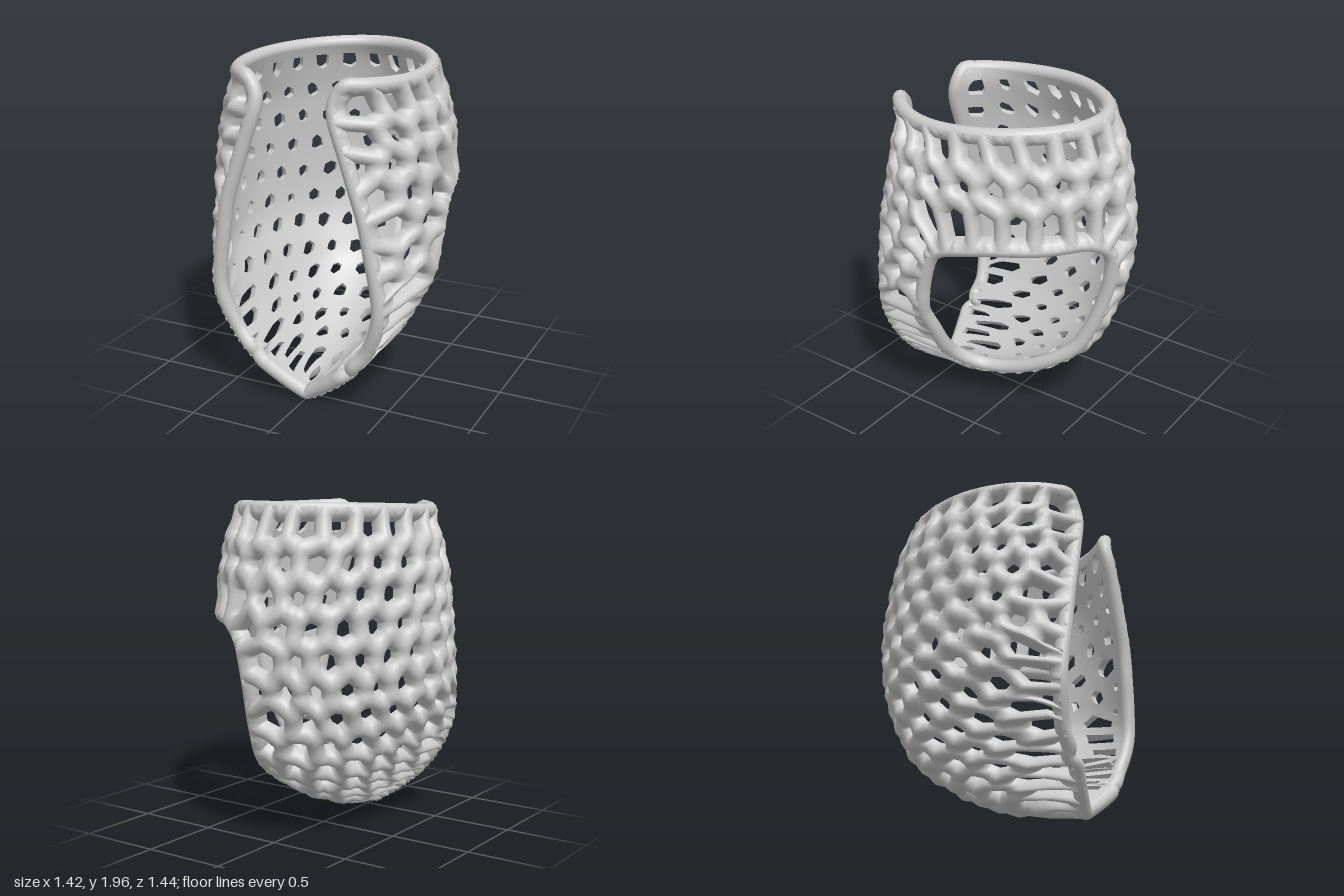
import * as THREE from 'three';
import { mergeVertices } from 'three/addons/utils/BufferGeometryUtils.js';

const THICK = 0.09, TOP = 1.95, FRONT_TOP = 1.89, RIM = 0.042;
const { lerp, clamp } = THREE.MathUtils;

// Smooth lookup through [y, value] points
function lut(p) {
  const slope = (i) => {
    const a = p[Math.max(i - 1, 0)], b = p[Math.min(i + 1, p.length - 1)];
    return (b[1] - a[1]) / (b[0] - a[0]);
  };
  return (y) => {
    let i = 0;
    while (i < p.length - 2 && y > p[i + 1][0]) i++;
    const d = p[i + 1][0] - p[i][0], t = clamp((y - p[i][0]) / d, 0, 1), t2 = t * t, t3 = t2 * t;
    return (2 * t3 - 3 * t2 + 1) * p[i][1] + (t3 - 2 * t2 + t) * d * slope(i)
      + (3 * t2 - 2 * t3) * p[i + 1][1] + (t3 - t2) * d * slope(i + 1);
  };
}

// Shell sections by height: half width, fullness and depth of the back, front edge, centre of the oval
const width = lut([[0, 0.03], [0.05, 0.11], [0.1, 0.18], [0.2, 0.3], [0.4, 0.48], [0.6, 0.59], [0.8, 0.68],
  [1, 0.705], [1.2, 0.71], [1.4, 0.7], [1.6, 0.68], [1.8, 0.62], [1.97, 0.56]]);
const fullness = lut([[0, 0.3], [0.4, 0.25], [0.8, 0], [1.2, -0.2], [1.6, -0.18], [1.97, -0.1]]);
const back = lut([[0, 0.52], [0.03, 0.38], [0.07, 0.2], [0.12, 0.02], [0.2, -0.15], [0.28, -0.29], [0.46, -0.5],
  [0.65, -0.6], [0.9, -0.68], [1.1, -0.72], [1.3, -0.73], [1.5, -0.7], [1.7, -0.66], [1.87, -0.6], [1.97, -0.54]]);
const edgeRatio = lut([[0, 1], [0.2, 1], [0.3, 0.99], [0.4, 0.96], [0.6, 0.91], [0.8, 0.78], [1, 0.7], [1.2, 0.64],
  [1.4, 0.55], [1.6, 0.46], [1.75, 0.41], [1.84, 0.44], [1.9, 0.58], [1.97, 0.8]]);
const edgeZ = lut([[0, 0.56], [0.2, 0.625], [0.4, 0.64], [0.8, 0.69], [1.2, 0.715], [1.7, 0.715], [1.85, 0.69], [1.97, 0.63]]);
const centreZ = lut([[0, 0.56], [0.2, 0.625], [0.3, 0.62], [0.4, 0.58], [0.6, 0.4], [0.8, 0.25], [1, 0.17], [1.2, 0.15], [1.97, 0.15]]);

const edgeAngle = (y) => Math.PI - Math.asin(clamp(edgeRatio(y), 0, 1));

// Outermost surface; angle 0 is the back, positive angles go to +x
function skin(y, th) {
  const c = Math.cos(th), zc = centreZ(y);
  const swell = c > 0 ? 1 + fullness(y) * c * c : 1;
  const front = (edgeZ(y) - zc) / Math.max(-Math.cos(edgeAngle(y)), 0.1);
  return new THREE.Vector3(width(y) * Math.sin(th) * swell, y, c > 0 ? zc - (zc - back(y)) * c : zc - front * c);
}
// Point at height h above the inner face
function shell(y, th, h) {
  const e = 0.006;
  const dy = skin(Math.min(y + e, 1.97), th).sub(skin(Math.max(y - e, 0), th));
  const dt = skin(y, th + e).sub(skin(y, th - e));
  return skin(y, th).addScaledVector(dy.cross(dt).normalize(), h - THICK);
}

// Heights at equal steps of arc length down a curve on the skin
function heightsAlong(point, top, n = 400) {
  const ys = [], len = [0];
  for (let i = 0; i <= n; i++) {
    ys.push(top * (1 - i / n) ** 1.5);
    if (i) len.push(len[i - 1] + point(ys[i]).distanceTo(point(ys[i - 1])));
  }
  const total = len[n];
  const at = (s) => {
    let i = 1;
    while (i < n && len[i] < s * total) i++;
    return lerp(ys[i - 1], ys[i], clamp((s * total - len[i - 1]) / (len[i] - len[i - 1]), 0, 1));
  };
  return { at, total };
}
const spine = heightsAlong((y) => skin(y, 0), TOP);
const frontEdge = heightsAlong((y) => skin(y, edgeAngle(y)), FRONT_TOP);

// Position on the shell from fraction s down the spine and t across
function locate(s, t) {
  const atSpine = spine.at(s), atEdge = lerp(frontEdge.at(s), atSpine, 0.5 * Math.sin(Math.PI * s));
  const y = lerp(atSpine, atEdge, Math.abs(t) ** 1.5);
  return { y, th: t * edgeAngle(y) };
}
// Arc lengths across each row, so that columns are evenly spaced
const rowArcs = Array.from({ length: 61 }, (_, k) => {
  const arc = [0];
  for (let i = 1; i <= 32; i++) {
    const q = locate(k / 60, i / 32), r = locate(k / 60, (i - 1) / 32);
    arc.push(arc[i - 1] + skin(q.y, q.th).distanceTo(skin(r.y, r.th)));
  }
  return arc;
});
function across(arc, a) {
  if (a >= arc[32]) return a / Math.max(arc[32], 0.01);
  let i = 1;
  while (arc[i] < a) i++;
  return (i - 1 + (a - arc[i - 1]) / (arc[i] - arc[i - 1])) / 32;
}
function chart(a, b) {
  const s = clamp(b / spine.total, 0, 1), k = Math.min(Math.floor(s * 60), 59), d = Math.abs(a);
  const t = Math.sign(a) * lerp(across(rowArcs[k], d), across(rowArcs[k + 1], d), s * 60 - k);
  return { ...locate(s, clamp(t, -1, 1)), inside: Math.abs(t) < 1 && b > 0 && b < spine.total };
}

// Outer border: down one front edge, up the other, back along the top
function outerLoop() {
  const side = [], top = [];
  for (let i = 0; i <= 240; i++) {
    const y = frontEdge.at(i / 240);
    side.push({ y, th: edgeAngle(y) });
  }
  const mirrored = side.slice(0, -1).reverse().map((q) => ({ y: q.y, th: -q.th }));
  for (let i = 1; i < 240; i++) top.push(locate(0, lerp(-1, 1, i / 240)));
  return [...side, ...mirrored, ...top];
}
// Side opening, as [height, angle]
const opening = new THREE.CatmullRomCurve3([[1.3, 0.42], [1.3, 0.8], [1.29, 1.25], [1.21, 1.55], [1, 1.64], [0.8, 1.58],
  [0.6, 1.42], [0.45, 1.29], [0.3, 1.14], [0.22, 0.9], [0.24, 0.57], [0.35, 0.34], [0.5, 0.2], [0.75, 0.12],
  [1, 0.11], [1.19, 0.18]].map(([y, th]) => new THREE.Vector3(y, th, 0)), true);
const loops = [outerLoop(), opening.getSpacedPoints(360).slice(0, -1).map((v) => ({ y: v.x, th: v.y }))];
const samples = loops.flatMap((loop, l) => loop.map((q, i) => ({ ...q, loop: l, i, p: skin(q.y, q.th) })));

function nearest(q) {
  const p = skin(q.y, q.th);
  let best = null, d = Infinity;
  for (const s of samples) {
    const e = s.p.distanceTo(p);
    if (e < d) { d = e; best = s; }
  }
  return { s: best, d };
}
function inOpening(q) {
  let hit = false;
  const L = loops[1];
  for (let i = 0, j = L.length - 1; i < L.length; j = i++) {
    if ((L[i].y > q.y) !== (L[j].y > q.y)
      && q.th < lerp(L[i].th, L[j].th, (q.y - L[i].y) / (L[j].y - L[i].y))) hit = !hit;
  }
  return hit;
}

// Honeycomb cells as corner keys, keeping those clear of the borders
const COL = 0.19, ROW = 0.187;
const noise = (i, j, k) => { const v = Math.sin(i * 127.1 + j * 311.7 + k * 74.7) * 43758.5453; return v - Math.floor(v) - 0.5; };
function honeycomb() {
  const cells = [], nodeUse = {}, edgeUse = {}, nodes = {};
  const edgeKey = (a, b) => [a, b].sort().join('|');
  for (let j = 0; j < 17; j++) for (let i = -12; i <= 12; i++) {
    const A = 2 * i + (j % 2 ? 0 : 1), q = chart(A * COL / 2, 0.15 + j * ROW);
    if (!q.inside || inOpening(q) || nearest(q).d < 0.055) continue;
    const keys = [[0, -2], [1, -1], [1, 1], [0, 2], [-1, 1], [-1, -1]].map(([u, v]) => `${A + u},${3 * j + v}`);
    cells.push(keys);
    keys.forEach((k, n) => {
      nodeUse[k] = (nodeUse[k] || 0) + 1;
      const e = edgeKey(k, keys[(n + 1) % 6]);
      edgeUse[e] = (edgeUse[e] || 0) + 1;
    });
  }
  for (const k in nodeUse) {
    const [u, v] = k.split(',').map(Number);
    const q = chart(u * COL / 2 + noise(u, v, 1) * 0.04, 0.15 + v * ROW / 3 + noise(u, v, 2) * 0.04);
    nodes[k] = nodeUse[k] < 3 ? nearest(q).s : q;
  }
  return { cells, nodes, isBorder: (a, b) => edgeUse[edgeKey(a, b)] === 1 };
}

// Point along a cell side; border sides follow the border loop
function along(a, b, f, border) {
  if (border && a.loop !== undefined && a.loop === b.loop) {
    const L = loops[a.loop], n = L.length;
    let d = b.i - a.i;
    if (d > n / 2) d -= n;
    if (d < -n / 2) d += n;
    return L[(Math.round(a.i + d * f) + n) % n];
  }
  return { y: lerp(a.y, b.y, f), th: lerp(a.th, b.th, f) };
}

function smooth(positions) {
  const g = new THREE.BufferGeometry();
  g.setAttribute('position', new THREE.Float32BufferAttribute(positions, 3));
  const merged = mergeVertices(g, 1e-4);
  merged.computeVertexNormals();
  return merged;
}
function strip(out, lo, hi, flip) {
  lo.forEach((p, i) => {
    const j = (i + 1) % lo.length;
    const tri = [p, hi[i], hi[j], p, hi[j], lo[j]];
    (flip ? tri.reverse() : tri).forEach((v) => out.push(v.x, v.y, v.z));
  });
}

export function createModel() {
  const group = new THREE.Group();
  const material = new THREE.MeshStandardMaterial({ color: 0xcccccc, side: THREE.DoubleSide });
  const add = (name, geometry) => {
    const mesh = new THREE.Mesh(geometry, material);
    mesh.name = name;
    group.add(mesh);
  };
  // Rounded struts outside, flat lining inside, one hole per cell
  const outer = [], inner = [], M = 4;
  const { cells, nodes, isBorder } = honeycomb();
  for (const keys of cells) {
    const ring = [];
    keys.forEach((k, n) => {
      const k2 = keys[(n + 1) % 6];
      for (let i = 0; i < M; i++) ring.push(along(nodes[k], nodes[k2], i / M, isBorder(k, k2)));
    });
    const mid = { y: 0, th: 0 };
    ring.forEach((q) => { mid.y += q.y / ring.length; mid.th += q.th / ring.length; });
    const c = skin(mid.y, mid.th);
    const radius = ring.reduce((r, q) => r + skin(q.y, q.th).distanceTo(c), 0) / ring.length;
    const hole = clamp(1 - 0.06 / (radius * 0.92), 0.28, 0.55);
    const level = (u, h) => ring.map((q, i) => {
      const f = lerp(hole, 1, u);
      return shell(lerp(mid.y, q.y, f), lerp(mid.th, q.th, f), h(i));
    });
    const dome = (u) => level(u, (i) => 0.02 + (0.065 + 0.006 * Math.cos(2 * Math.PI * i / M)) * Math.sqrt(1 - (1 - u) ** 2));
    const rings = [level(0, () => 0), ...[0, 0.06, 0.2, 0.42, 0.7, 1].map(dome)];
    for (let i = 1; i < rings.length; i++) strip(outer, rings[i - 1], rings[i], false);
    const flat = [0, 0.5, 1].map((u) => level(u, () => 0));
    for (let i = 1; i < flat.length; i++) strip(inner, flat[i - 1], flat[i], true);
  }
  add('latticeStruts', smooth(outer));
  add('innerLining', smooth(inner));

  // Rounded rims round the shell border and the side opening
  loops.forEach((loop, l) => {
    const pts = loop.filter((_, i) => i % 6 === 0).map((q) => shell(q.y, q.th, RIM));
    add(l ? 'sideOpeningRim' : 'outerRim', new THREE.TubeGeometry(new THREE.CatmullRomCurve3(pts, true), 360, RIM, 12, true));
  });
  return group;
}
